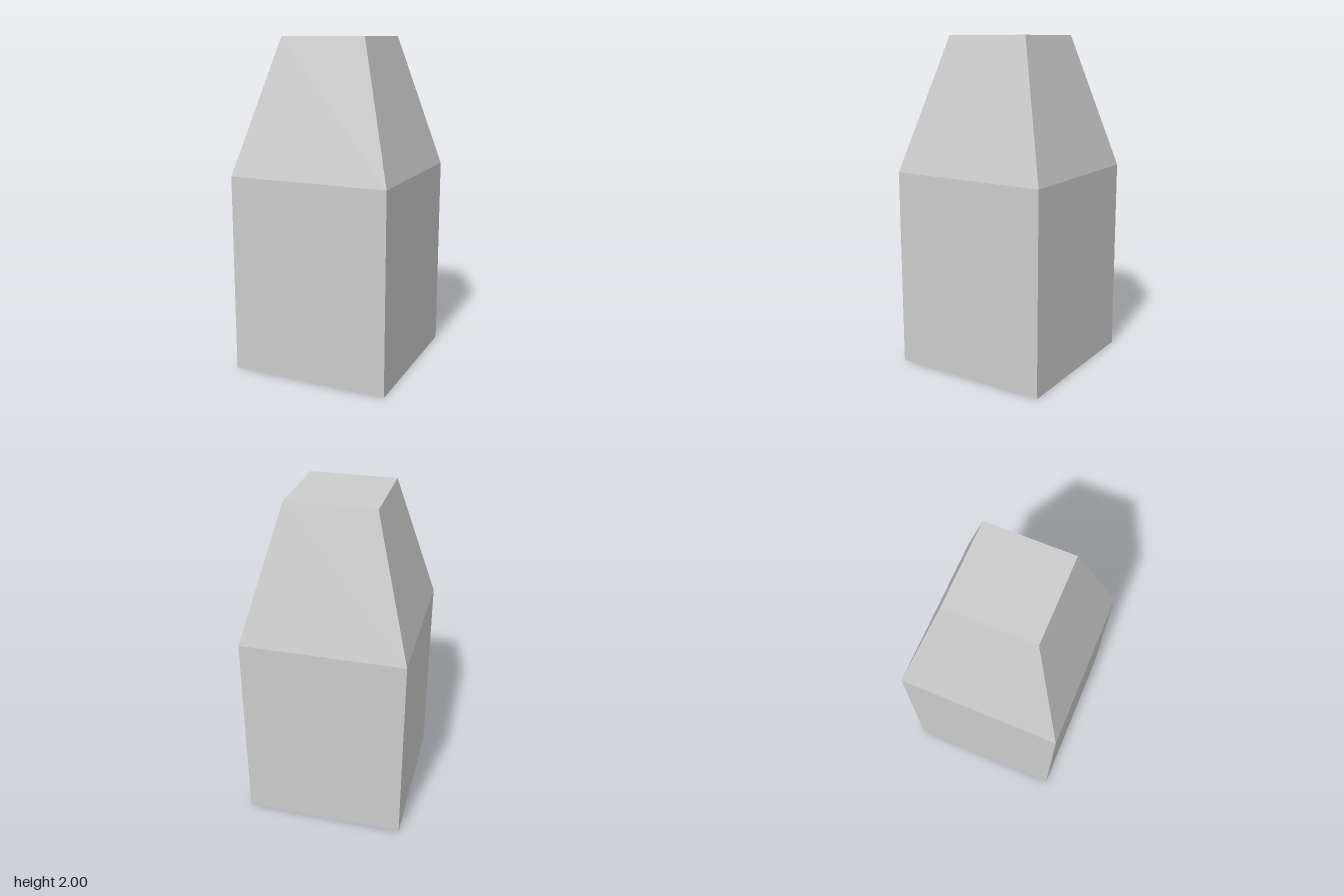
import * as THREE from 'three';

const BASE = 0.485, TOP = 0.26, SHOULDER = 1.2, HEIGHT = 2;

// Four-sided solid from a profile of [half width, height] points, bottom to top
function squareLathe(name, profile, material) {
  const points = profile.map(([half, y]) => new THREE.Vector2(half * Math.SQRT2, y));
  const mesh = new THREE.Mesh(new THREE.LatheGeometry(points, 4, Math.PI / 4), material);
  mesh.name = name;
  return mesh;
}

export function createModel() {
  const group = new THREE.Group();
  group.name = 'taperedBlock';
  const material = new THREE.MeshStandardMaterial({ color: 0xcccccc, flatShading: true });

  // Straight square body, closed underneath
  group.add(squareLathe('body', [[0, 0], [BASE, 0], [BASE, SHOULDER]], material));

  // Tapered upper part, closed by the flat top
  group.add(squareLathe('taperedTop', [[BASE, SHOULDER], [TOP, HEIGHT], [0, HEIGHT]], material));

  return group;
}
